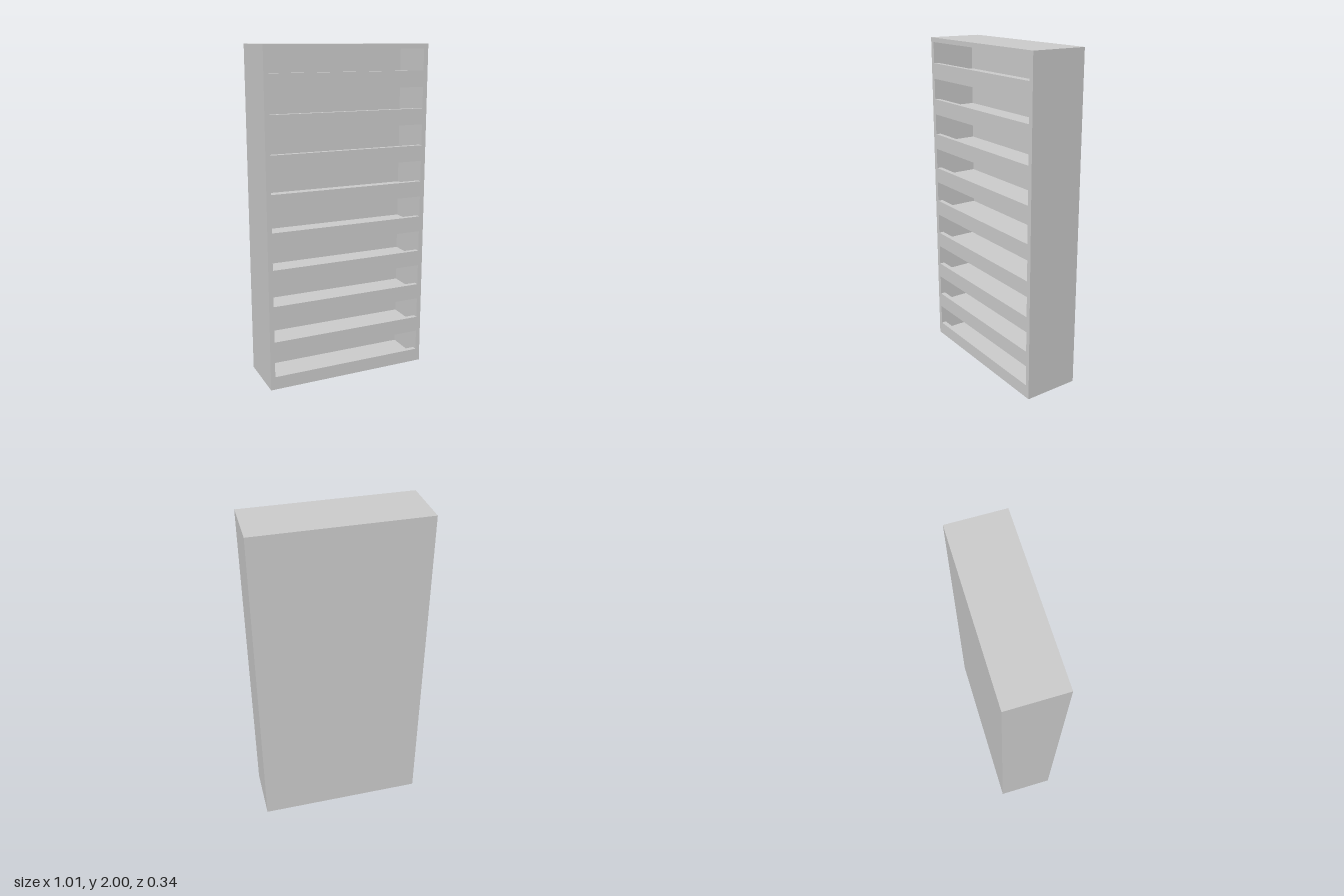
import * as THREE from 'three';

const W = 1.014, H = 2, D = 0.34;   // overall size
const SLOT_X = 0.479;               // half width of each opening
const SLOT_H = 0.126, FIRST = 0.08, PITCH = 0.2209, COUNT = 9;
const FRONT_T = 0.03, BACK_T = 0.064, LIP = 0.05;

const material = new THREE.MeshStandardMaterial({ color: 0xcccccc, flatShading: true });

function rectangle(target, x, y0, y1) {
  target.moveTo(-x, y0);
  target.lineTo(x, y0);
  target.lineTo(x, y1);
  target.lineTo(-x, y1);
  target.closePath();
  return target;
}

// Full-size panel with one opening per compartment; drop lowers each opening's sill
function slottedPanel(name, drop, z0, depth) {
  const shape = rectangle(new THREE.Shape(), W / 2, 0, H);
  for (let i = 0; i < COUNT; i++) {
    const y = FIRST + i * PITCH;
    shape.holes.push(rectangle(new THREE.Path(), SLOT_X, y - drop, y + SLOT_H));
  }
  const geometry = new THREE.ExtrudeGeometry(shape, { depth, bevelEnabled: false });
  const mesh = new THREE.Mesh(geometry, material);
  mesh.name = name;
  mesh.position.z = z0;
  return mesh;
}

export function createModel() {
  const group = new THREE.Group();
  group.name = 'shelfCabinet';

  // Front frame, whose rails form a raised lip before each shelf
  group.add(slottedPanel('frontFrame', 0, D / 2 - FRONT_T, FRONT_T));

  // Side walls and shelves
  group.add(slottedPanel('sidesAndShelves', LIP, -D / 2 + BACK_T, D - FRONT_T - BACK_T));

  // Closed back
  const back = new THREE.Mesh(new THREE.BoxGeometry(W, H, BACK_T), material);
  back.name = 'backPanel';
  back.position.set(0, H / 2, -D / 2 + BACK_T / 2);
  group.add(back);

  return group;
}
